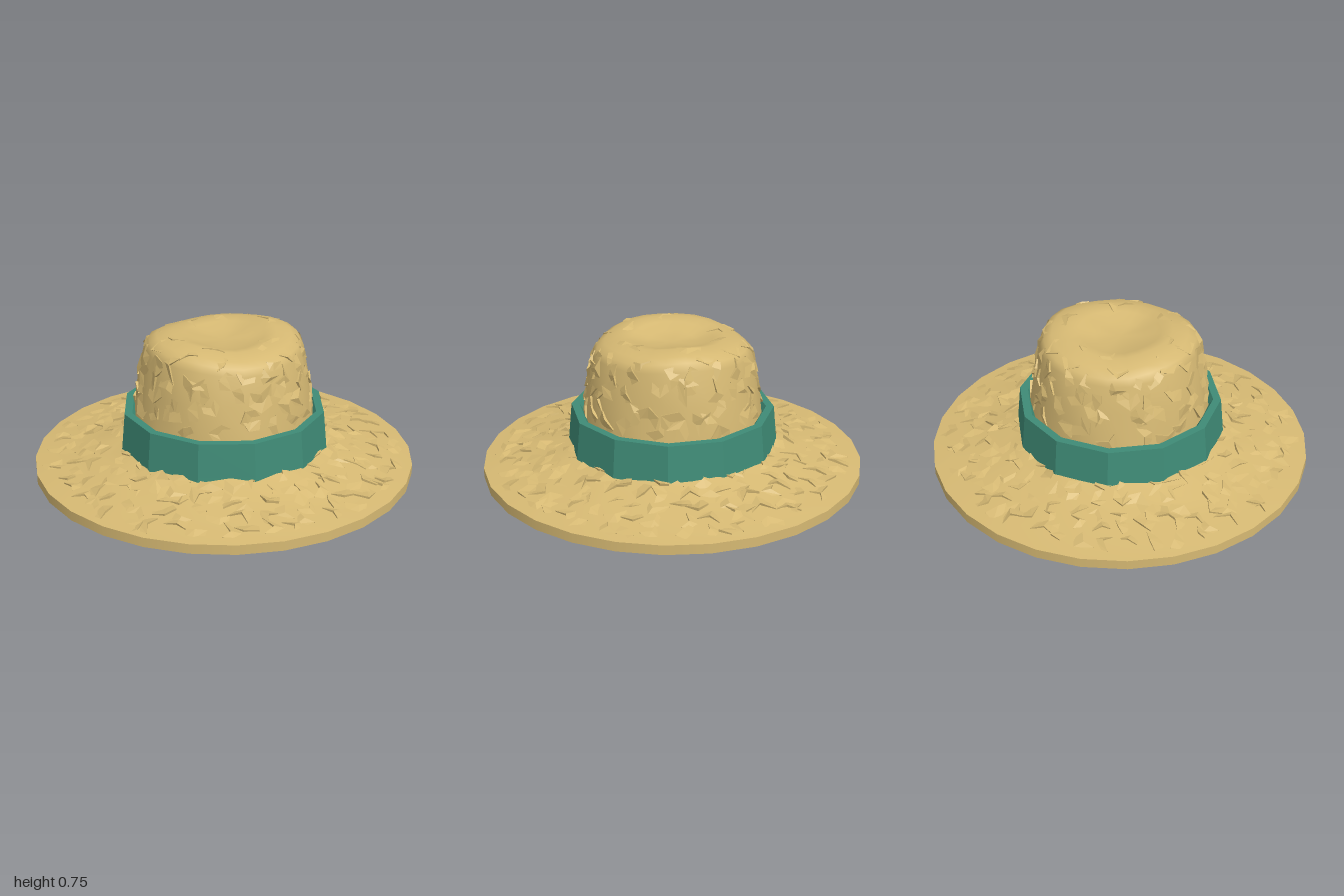
import * as THREE from 'three';
import { mergeVertices } from 'three/addons/utils/BufferGeometryUtils.js';

const straw = new THREE.MeshStandardMaterial({ color: 0xd6b973, side: THREE.DoubleSide });
straw.name = 'straw';
const ribbon = new THREE.MeshStandardMaterial({ color: 0x3f8b76, flatShading: true });
ribbon.name = 'ribbon green';

// Small seeded random generator
let seed = 7;
const rand = () => {
  seed = (seed * 16807) % 2147483647;
  return seed / 2147483647;
};
const between = (a, b) => a + (b - a) * rand();

// Profiles as [radius, height], from the outside in
const brimProfile = [[1, 0.05], [0.9, 0.063], [0.8, 0.08], [0.65, 0.11], [0.53, 0.145], [0.46, 0.17]];
const crownProfile = [[0.49, 0.14], [0.468, 0.33], [0.445, 0.5], [0.412, 0.655], [0.39, 0.69],
  [0.35, 0.713], [0.27, 0.731], [0.21, 0.72], [0.13, 0.695], [0, 0.688]];

// Gentle hand-woven unevenness of each surface
const brimRule = (r, y, a) => new THREE.Vector3(r * Math.sin(a),
  y + 0.03 * (1 - r) * Math.sin(7 * a + 9 * r) * Math.cos(4 * a - 20 * r), r * Math.cos(a));
const crownRule = (r, y, a) => {
  const top = THREE.MathUtils.smoothstep(y, 0.55, 0.7);
  const rr = r * (1 + 0.008 * Math.sin(5 * a + 12 * y));
  const lift = top * r * (-0.045 * Math.cos(2 * a) + 0.012 * Math.sin(5 * a));
  return new THREE.Vector3(rr * Math.sin(a), y + lift, rr * Math.cos(a));
};

// Point on a profile at the distance d along it
function along(profile, d) {
  for (let i = 0; i < profile.length - 1; i++) {
    const [r0, y0] = profile[i], [r1, y1] = profile[i + 1];
    const len = Math.hypot(r1 - r0, y1 - y0);
    if (d <= len || i === profile.length - 2) {
      const t = Math.min(d / len, 1);
      return [r0 + (r1 - r0) * t, y0 + (y1 - y0) * t];
    }
    d -= len;
  }
}

// Smooth turned surface bent by a rule
function turned(profile, rule, sides) {
  const geo = new THREE.LatheGeometry(profile.map(p => new THREE.Vector2(...p)), sides);
  const pos = geo.attributes.position;
  for (let i = 0; i < pos.count; i++) {
    const x = pos.getX(i), z = pos.getZ(i);
    const p = rule(Math.hypot(x, z), pos.getY(i), Math.atan2(x, z));
    pos.setXYZ(i, p.x, p.y, p.z);
  }
  geo.deleteAttribute('uv');
  geo.deleteAttribute('normal');
  const merged = mergeVertices(geo, 1e-4);
  merged.computeVertexNormals();
  return merged;
}

// Overlapping bent straw ends: each rises from the surface to a raised zigzag edge
function strawEnds(profile, rule, rows, spacing, lift) {
  const verts = [];
  const at = (d, a, h) => {
    const [r, y] = along(profile, d);
    const p = rule(r, y, a);
    const e = 0.01;
    const du = rule(...along(profile, d + e), a).sub(rule(...along(profile, d - e), a));
    const dv = rule(r, y, a + e).sub(rule(r, y, a - e));
    return p.addScaledVector(dv.cross(du).normalize(), h);
  };
  const tri = (...ps) => ps.forEach(p => verts.push(p.x, p.y, p.z));
  const quad = (a, b, c, d) => { tri(a, b, c); tri(a, c, d); };
  for (const row of rows) {
    const radius = along(profile, row)[0];
    const count = Math.round(2 * Math.PI * radius / spacing);
    for (let k = 0; k < count; k++) {
      const a0 = (k + between(-0.35, 0.35)) / count * Math.PI * 2;
      const d0 = row + between(-0.02, 0.02);
      const turn = between(0, Math.PI * 2), c = Math.cos(turn), s = Math.sin(turn);
      const size = between(0.75, 1.15), bend = between(-0.03, 0.03);
      const put = (u, v, h) => at(d0 + (u * s + v * c) * size, a0 + (u * c - v * s) * size / radius, h);
      const edge = [[-0.055, -bend], [between(-0.015, 0.015), bend], [0.055, -bend * 0.5]];
      const heights = [lift * 0.4, lift, lift * 0.5];
      const ridge = edge.map(([u, v], i) => put(u, v, heights[i]));
      const foot = edge.map(([u, v]) => put(u, v, -0.006));
      const tail = edge.map(([u, v]) => put(u * 0.8, v + 0.06, -0.004));
      for (let i = 0; i < 2; i++) {
        quad(ridge[i], ridge[i + 1], tail[i + 1], tail[i]);
        quad(foot[i], foot[i + 1], ridge[i + 1], ridge[i]);
      }
    }
  }
  const geo = new THREE.BufferGeometry();
  geo.setAttribute('position', new THREE.Float32BufferAttribute(verts, 3));
  geo.computeVertexNormals();
  return geo;
}

export function createModel() {
  const hat = new THREE.Group();
  hat.name = 'strawHat';
  const add = (name, geo, mat) => {
    const mesh = new THREE.Mesh(geo, mat);
    mesh.name = name;
    hat.add(mesh);
    return mesh;
  };

  // Brim: flat underside, upright rim and sloping top
  add('brimUnderside', new THREE.CircleGeometry(1, 28).rotateX(Math.PI / 2), straw);
  add('brimRim', new THREE.CylinderGeometry(1, 1, 0.05, 28, 1, true).translate(0, 0.025, 0), straw);
  add('brimTop', turned(brimProfile, brimRule, 28), straw);
  add('brimStrawEnds', strawEnds(brimProfile, brimRule, [0.11, 0.2, 0.29, 0.38, 0.46], 0.115, 0.012), straw);

  // Crown with a dented top
  add('crown', turned(crownProfile, crownRule, 24), straw);
  add('crownStrawEnds', strawEnds(crownProfile, crownRule, [0.24, 0.33, 0.42, 0.5], 0.13, 0.012), straw);
  add('crownTopStrawEnds', strawEnds(crownProfile, crownRule, [0.575, 0.7], 0.22, 0.008), straw);

  // Twelve-sided ribbon band with a flat upper edge
  const bandProfile = [[0.553, 0.13], [0.55, 0.16], [0.533, 0.335], [0.492, 0.335], [0.47, 0.3]];
  const band = add('hatBand', new THREE.LatheGeometry(bandProfile.map(p => new THREE.Vector2(...p)), 12), ribbon);
  band.rotation.y = Math.PI / 12 + 0.04;

  return hat;
}
